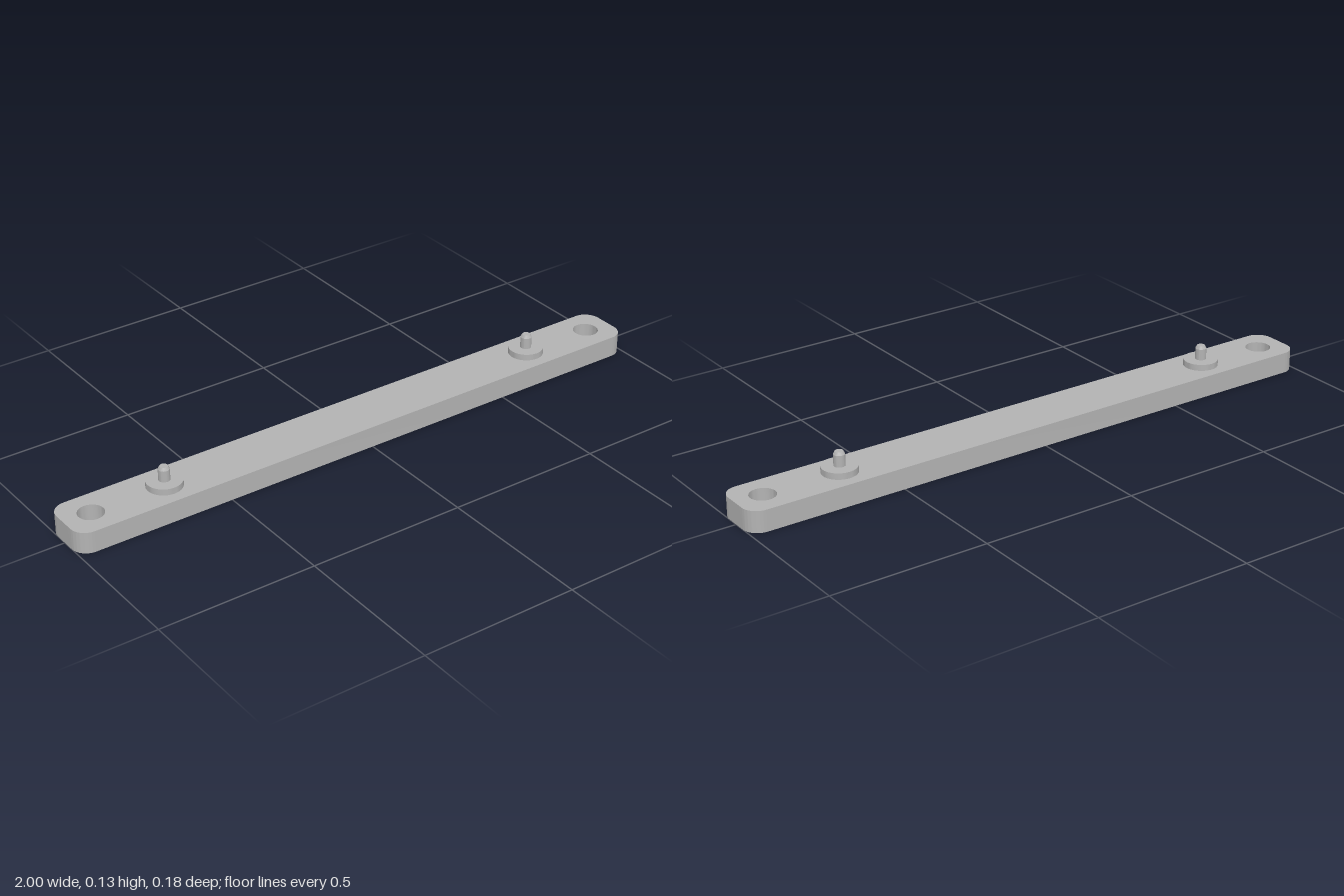
import * as THREE from 'three';
import { toCreasedNormals } from 'three/addons/utils/BufferGeometryUtils.js';

const HALF_LENGTH = 1, HALF_WIDTH = 0.089, THICKNESS = 0.068, CORNER = 0.05;
const CREASE = Math.PI / 7;

// Rounded bar outline with a through hole near each end
function barGeometry() {
  const x = HALF_LENGTH, z = HALF_WIDTH, r = CORNER;
  const shape = new THREE.Shape();
  shape.absarc(x - r, z - r, r, 0, Math.PI / 2);
  shape.absarc(-x + r, z - r, r, Math.PI / 2, Math.PI);
  shape.absarc(-x + r, -z + r, r, Math.PI, Math.PI * 1.5);
  shape.absarc(x - r, -z + r, r, Math.PI * 1.5, Math.PI * 2);
  shape.closePath();
  for (const side of [-1, 1]) {
    const hole = new THREE.Path();
    hole.absarc(side * 0.912, 0, 0.04, 0, Math.PI * 2, true);
    shape.holes.push(hole);
  }
  const geometry = new THREE.ExtrudeGeometry(shape, { depth: THICKNESS, bevelEnabled: false, curveSegments: 20 });
  geometry.rotateX(-Math.PI / 2);
  return toCreasedNormals(geometry, CREASE);
}

function turned(profile) {
  const points = profile.map(([r, y]) => new THREE.Vector2(r, y));
  return toCreasedNormals(new THREE.LatheGeometry(points, 40), CREASE);
}

export function createModel() {
  const model = new THREE.Group();
  model.name = 'mountingBar';
  const grey = new THREE.MeshStandardMaterial({ color: 0xb3b3b3 });
  grey.name = 'grey';

  const add = (parent, name, geometry) => {
    const mesh = new THREE.Mesh(geometry, grey);
    mesh.name = name;
    parent.add(mesh);
  };

  add(model, 'bar', barGeometry());

  // Round shoulder and chamfered locating pin, one near each end
  const shoulder = turned([[0.055, 0], [0.055, 0.02], [0, 0.02]]);
  const pin = turned([[0.0175, 0.02], [0.0175, 0.056], [0.0125, 0.065], [0, 0.065]]);
  for (const [name, x] of [['rightPost', -0.671], ['leftPost', 0.662]]) {
    const post = new THREE.Group();
    post.name = name;
    post.position.set(x, THICKNESS, 0);
    add(post, 'shoulder', shoulder);
    add(post, 'pin', pin);
    model.add(post);
  }
  return model;
}
